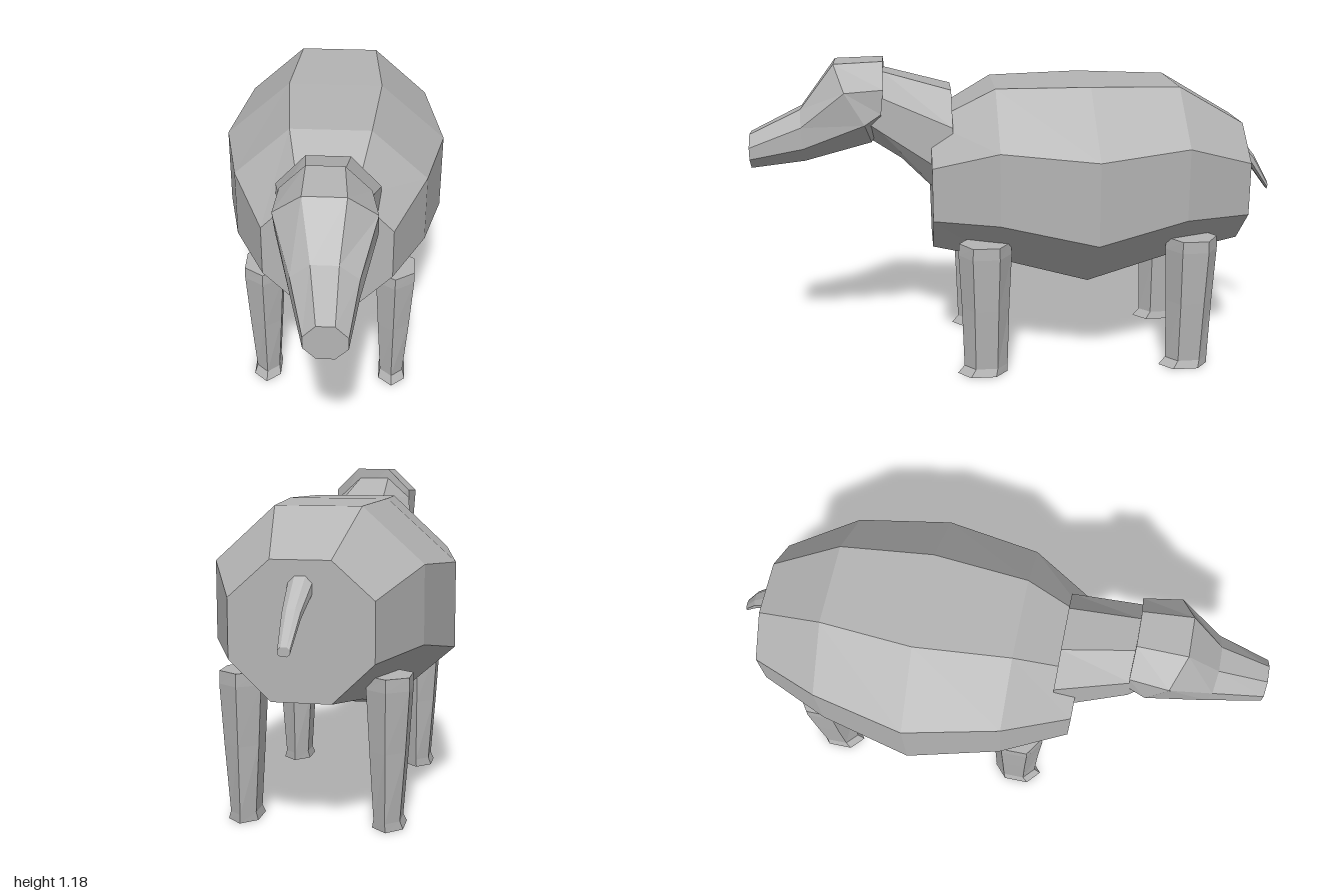
import * as THREE from 'three';

// Skin a series of closed rings and cap both ends, with flat facets.
// Rings advance along an axis and run counterclockwise seen from its far end.
function loft(name, rings, material) {
  const n = rings[0].length;
  const index = [];
  for (let i = 0; i < rings.length - 1; i++) {
    for (let j = 0; j < n; j++) {
      const k = (j + 1) % n;
      const a = i * n + j, b = i * n + k, c = b + n, d = a + n;
      index.push(a, b, c, a, c, d);
    }
  }
  const last = (rings.length - 1) * n;
  for (let j = 1; j < n - 1; j++) {
    index.push(0, j + 1, j);
    index.push(last, last + j, last + j + 1);
  }
  const indexed = new THREE.BufferGeometry();
  indexed.setAttribute('position', new THREE.Float32BufferAttribute(rings.flat(2), 3));
  indexed.setIndex(index);
  const geometry = indexed.toNonIndexed();
  geometry.computeVertexNormals();
  const mesh = new THREE.Mesh(geometry, material);
  mesh.name = name;
  return mesh;
}

// Octagon across z: side half width, flat half width, then [y, z] of the
// top, upper corner, lower corner and bottom.
function octagon(cx, side, flat, top, upper, lower, bottom) {
  const p = (x, [y, z]) => [cx + x, y, z];
  return [
    p(side, lower), p(side, upper), p(flat, top), p(-flat, top),
    p(-side, upper), p(-side, lower), p(-flat, bottom), p(flat, bottom),
  ];
}

// Upright octagon at one z
const section = (z, side, flat, ...ys) => octagon(0, side, flat, ...ys.map((y) => [y, z]));

// Hexagon lying flat at height y
function hexagon(cx, cz, y, rx, rz) {
  return Array.from({ length: 6 }, (_, i) => {
    const a = (i + 0.5) * Math.PI / 3;
    return [cx + rx * Math.cos(a) / Math.cos(Math.PI / 6), y, cz - rz * Math.sin(a)];
  });
}

export function createModel() {
  const model = new THREE.Group();
  model.name = 'animal';
  const grey = new THREE.MeshStandardMaterial({ color: 0xb4b4b4 });
  grey.name = 'grey hide';

  // Barrel-shaped body
  model.add(loft('body', [
    section(-0.865, 0.24, 0.10, 0.925, 0.80, 0.60, 0.465),
    section(-0.60, 0.36, 0.15, 1.08, 0.89, 0.62, 0.425),
    section(-0.26, 0.43, 0.18, 1.09, 0.865, 0.555, 0.335),
    section(0.09, 0.36, 0.15, 1.085, 0.89, 0.62, 0.425),
    section(0.33, 0.24, 0.10, 0.955, 0.81, 0.61, 0.465),
  ], grey));

  // Neck
  model.add(loft('neck', [
    section(0.25, 0.19, 0.08, 1.07, 0.95, 0.76, 0.62),
    octagon(0, 0.15, 0.06, [1.14, 0.50], [1.06, 0.51], [0.93, 0.51], [0.81, 0.44]),
    octagon(0.01, 0.13, 0.055, [1.14, 0.57], [1.07, 0.58], [0.97, 0.57], [0.885, 0.55]),
  ], grey));

  // Head tapering to the muzzle
  model.add(loft('head', [
    octagon(0.005, 0.155, 0.065, [1.18, 0.50], [1.09, 0.50], [1.0, 0.51], [0.93, 0.52]),
    octagon(0.012, 0.173, 0.073, [1.175, 0.68], [1.085, 0.64], [0.965, 0.57], [0.88, 0.55]),
    octagon(0.02, 0.112, 0.046, [1.005, 0.81], [0.95, 0.805], [0.87, 0.80], [0.81, 0.80]),
    octagon(0.033, 0.072, 0.03, [0.915, 1.0], [0.872, 1.0], [0.828, 1.0], [0.787, 1.0]),
  ], grey));

  // Drooping tail, tip first
  model.add(loft('tail', [
    octagon(0.021, 0.02, 0.01, [0.67, -1.0], [0.662, -1.0], [0.648, -1.0], [0.64, -1.0]),
    octagon(0.012, 0.03, 0.014, [0.78, -0.94], [0.768, -0.938], [0.748, -0.932], [0.735, -0.93]),
    octagon(0, 0.04, 0.018, [0.88, -0.86], [0.858, -0.86], [0.822, -0.86], [0.80, -0.86]),
  ], grey));

  // Four tapered legs with small flared hooves
  for (const side of [1, -1]) {
    for (const [end, z] of [['front', 0.14], ['back', -0.645]]) {
      const label = end + (side > 0 ? 'LeftLeg' : 'RightLeg');
      model.add(loft(label, [
        hexagon(side * 0.252, z + 0.013, 0, 0.053, 0.096),
        hexagon(side * 0.25, z, 0.03, 0.045, 0.083),
        hexagon(side * 0.252, z, 0.27, 0.061, 0.09),
        hexagon(side * 0.253, z, 0.48, 0.073, 0.1),
        hexagon(side * 0.253, z, 0.525, 0.072, 0.097),
      ], grey));
    }
  }
  return model;
}
